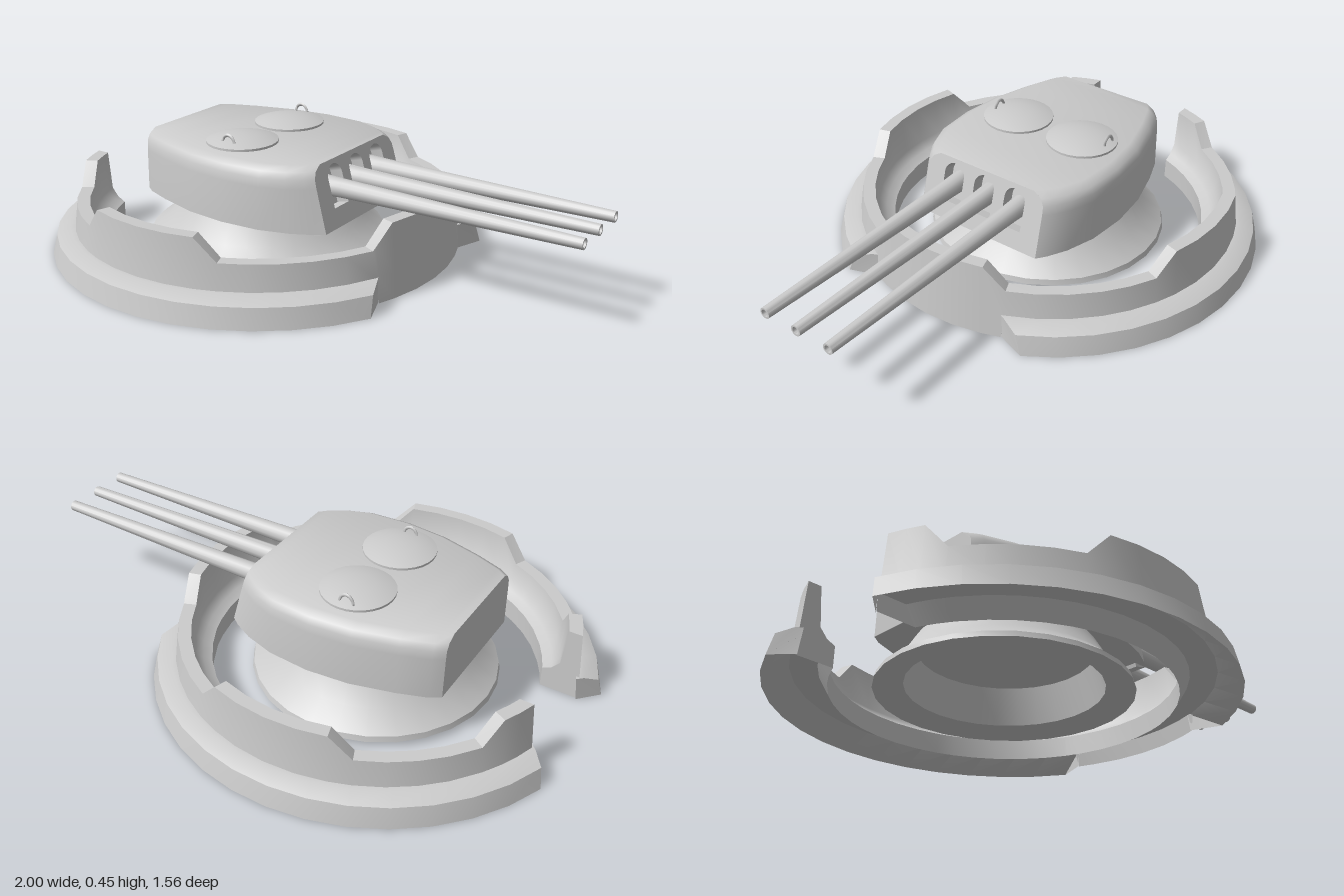
import * as THREE from 'three';
import { toCreasedNormals } from 'three/addons/utils/BufferGeometryUtils.js';

const CX = -0.265; // axis of the round mount
const RAD = Math.PI / 180;
const material = new THREE.MeshStandardMaterial({ color: 0xcccccc });

function add(parent, name, geometry, crease = 35) {
  const mesh = new THREE.Mesh(toCreasedNormals(geometry, crease * RAD), material);
  mesh.name = name;
  parent.add(mesh);
  return mesh;
}

// Skin between closed cross-sections; outline is the 2D section used for end caps.
function loft(rings, outline, capLast = true) {
  const n = outline.length, last = (rings.length - 1) * n;
  const pts = rings.flat();
  const tris = [];
  for (let i = 0; i < rings.length - 1; i++) {
    for (let j = 0; j < n; j++) {
      const a = i * n + j, b = i * n + (j + 1) % n;
      tris.push([a, b, b + n], [a, b + n, a + n]);
    }
  }
  const ccw = THREE.ShapeUtils.area(outline) > 0;
  for (const t of THREE.ShapeUtils.triangulateShape(outline, [])) {
    const back = [t[2], t[1], t[0]];
    tris.push(ccw ? back : t);
    if (capLast) tris.push((ccw ? t : back).map((k) => k + last));
  }
  // Turn everything outward
  const cross = new THREE.Vector3();
  let volume = 0;
  for (const [a, b, c] of tris) volume += pts[a].dot(cross.crossVectors(pts[b], pts[c]));
  const index = tris.flatMap(([a, b, c]) => (volume < 0 ? [a, c, b] : [a, b, c]));
  const g = new THREE.BufferGeometry().setFromPoints(pts);
  g.setIndex(index);
  return g;
}

const outlineOf = (profile) => profile.map(([r, y]) => new THREE.Vector2(r, y));
const polar = (r, y, deg) =>
  new THREE.Vector3(CX + r * Math.cos(deg * RAD), y, r * Math.sin(deg * RAD));

// Parapet height: raised tabs at the front, both sides and the rear ends
function wallHeight(deg) {
  const a = Math.abs(deg);
  const d = Math.min(a, Math.abs(a - 90));
  const tab = Math.max((23.8 - d) / 6.4, (a - 147) / 6);
  return 0.18 + 0.08 * THREE.MathUtils.clamp(tab, 0, 1);
}

function buildWall(root) {
  // Grooved underside, closed to the ground at the ends;
  // the outer skin reaches the ground only where there is no foot step
  const profile = (deg) => {
    const a = Math.abs(deg), h = wallHeight(deg);
    const groove = a > 165 ? 0 : 0.06, skirt = a < 23 ? 0 : groove;
    return [[0.575, 0], [0.61, groove], [0.695, groove], [0.705, skirt], [0.7, 0.09], [0.687, h],
      [0.642, h], [0.63, 0.12], [0.605, 0.09], [0.575, 0.075]];
  };
  const half = [0, 8.7, 17.4, 22.7, 23.8, 32, 41, 50, 58, 66.2, 72.6, 81, 90, 99, 107.4, 113.8,
    122, 130, 138, 147, 153, 158, 165, 166];
  const angles = [...half.slice(1).reverse().map((a) => -a), ...half];
  const rings = angles.map((a) => profile(a).map(([r, y]) => {
    const limit = 180 - Math.asin(0.2 / r) / RAD; // flat rear ends
    return polar(r, y, THREE.MathUtils.clamp(a, -limit, limit));
  }));
  add(root, 'parapetWall', loft(rings, outlineOf(profile(166))), 42);
}

function buildFoot(root, side) {
  const profile = (groove) => [[0.783, 0], [0.765, 0.07], [0.715, 0.09], [0.69, 0.09], [0.7, groove]];
  const rings = [];
  const steps = 14;
  for (let i = -1; i <= steps + 1; i++) {
    const t = THREE.MathUtils.clamp(i / steps, 0, 1);
    const groove = i < 0 || i > steps ? 0 : 0.06; // closed ends
    rings.push(profile(groove).map(([r, y]) => {
      const k = (r - 0.7) / 0.08;
      const start = 22.7 + 6 * k, end = 164 - 3.5 * k;
      return polar(r, y, side * (start + (end - start) * t));
    }));
  }
  add(root, side > 0 ? 'leftFootStep' : 'rightFootStep', loft(rings, outlineOf(profile(0))));
}

// Turret half section at a given half width: bottom to top
const section = (w) => [[w, 0.18], [w * 0.985, 0.33], [w * 0.975, 0.36], [w - 0.02, 0.383], [w - 0.05, 0.4]];
const fullSection = (w) => {
  const s = section(w);
  return [...s, ...s.slice().reverse().map(([z, y]) => [-z, y])];
};

function buildTurret(root) {
  const turret = new THREE.Group();
  turret.name = 'turret';
  root.add(turret);

  // Body, with the front leaning back
  const stations = [[-0.635, 0.235], [-0.6, 0.26], [-0.5, 0.297], [-0.35, 0.338], [-0.2, 0.353],
    [-0.05, 0.342], [0.06, 0.31], [0.13, 0.275], [0.165, 0.25]];
  const rings = stations.map(([x, w]) => {
    const lean = THREE.MathUtils.clamp((x + 0.05) / 0.215, 0, 1) * 0.273;
    return fullSection(w).map(([z, y]) => new THREE.Vector3(x - lean * (y - 0.18), y, z));
  });
  add(turret, 'turretBody', loft(rings, outlineOf(fullSection(0.235)), false), 40);

  // Sloped front plate with three round-topped gun ports
  const up = new THREE.Vector3(-0.06, 0.22, 0);
  const stretch = up.length() / 0.22;
  up.normalize();
  const side = new THREE.Vector3(0, 0, -1);
  const out = new THREE.Vector3().crossVectors(side, up);
  const front = new THREE.Group();
  front.name = 'frontPlateGroup';
  front.applyMatrix4(new THREE.Matrix4().makeBasis(side, up, out).setPosition(0.165, 0.18, 0));
  turret.add(front);
  const plate = new THREE.Shape(fullSection(0.25).map(([z, y]) => new THREE.Vector2(z, (y - 0.18) * stretch)));
  for (const z of [-0.13, 0, 0.13]) {
    const port = new THREE.Path();
    port.moveTo(z - 0.042, 0.067);
    port.lineTo(z + 0.042, 0.067);
    port.lineTo(z + 0.042, 0.17);
    port.absarc(z, 0.17, 0.042, 0, Math.PI, false);
    port.closePath();
    plate.holes.push(port);
  }
  const plateGeo = new THREE.ExtrudeGeometry(plate, { depth: 0.05, bevelEnabled: false, curveSegments: 8 });
  add(front, 'frontPlate', plateGeo.translate(0, 0, -0.05));
  add(front, 'gunPortBacking', new THREE.BoxGeometry(0.38, 0.17, 0.01).translate(0, 0.13, -0.052));

  // Tapered hollow gun barrels
  const barrel = [[0, 0.08], [0.036, 0.08], [0.033, 0.16], [0.019, 1], [0.013, 1], [0.013, 0.95], [0, 0.95]]
    .map(([r, x]) => new THREE.Vector2(r, x));
  for (const z of [-0.13, 0, 0.13]) {
    const geo = new THREE.LatheGeometry(barrel, 14).rotateZ(-Math.PI / 2);
    add(turret, 'gunBarrel', geo.translate(0, 0.305, z));
  }

  // Domed roof hatches with handles
  const dome = [[0.128, 0.395], [0.128, 0.408], [0.1, 0.417], [0.055, 0.425], [0, 0.428]]
    .map(([r, y]) => new THREE.Vector2(r, y));
  for (const s of [-1, 1]) {
    add(turret, 'roofHatch', new THREE.LatheGeometry(dome, 28).translate(-0.265, 0, s * 0.14));
    add(turret, 'hatchHandle', new THREE.TorusGeometry(0.026, 0.005, 6, 12, Math.PI)
      .scale(1, 1.25, 1).translate(-0.27 + s * 0.01, 0.41, s * 0.232 - 0.008), 60);
  }
}

export function createModel() {
  const root = new THREE.Group();
  root.name = 'gunTurret';
  buildWall(root);
  for (const side of [1, -1]) buildFoot(root, side);

  // Low flared pedestal, hollow underneath
  const pedestal = [[0, 0.17], [0.3, 0.17], [0.335, 0.04], [0.435, 0.02], [0.43, 0.04], [0.36, 0.095], [0.31, 0.18]]
    .map(([r, y]) => new THREE.Vector2(r, y));
  add(root, 'pedestal', new THREE.LatheGeometry(pedestal, 28).translate(CX, 0, 0));

  buildTurret(root);
  return root;
}
